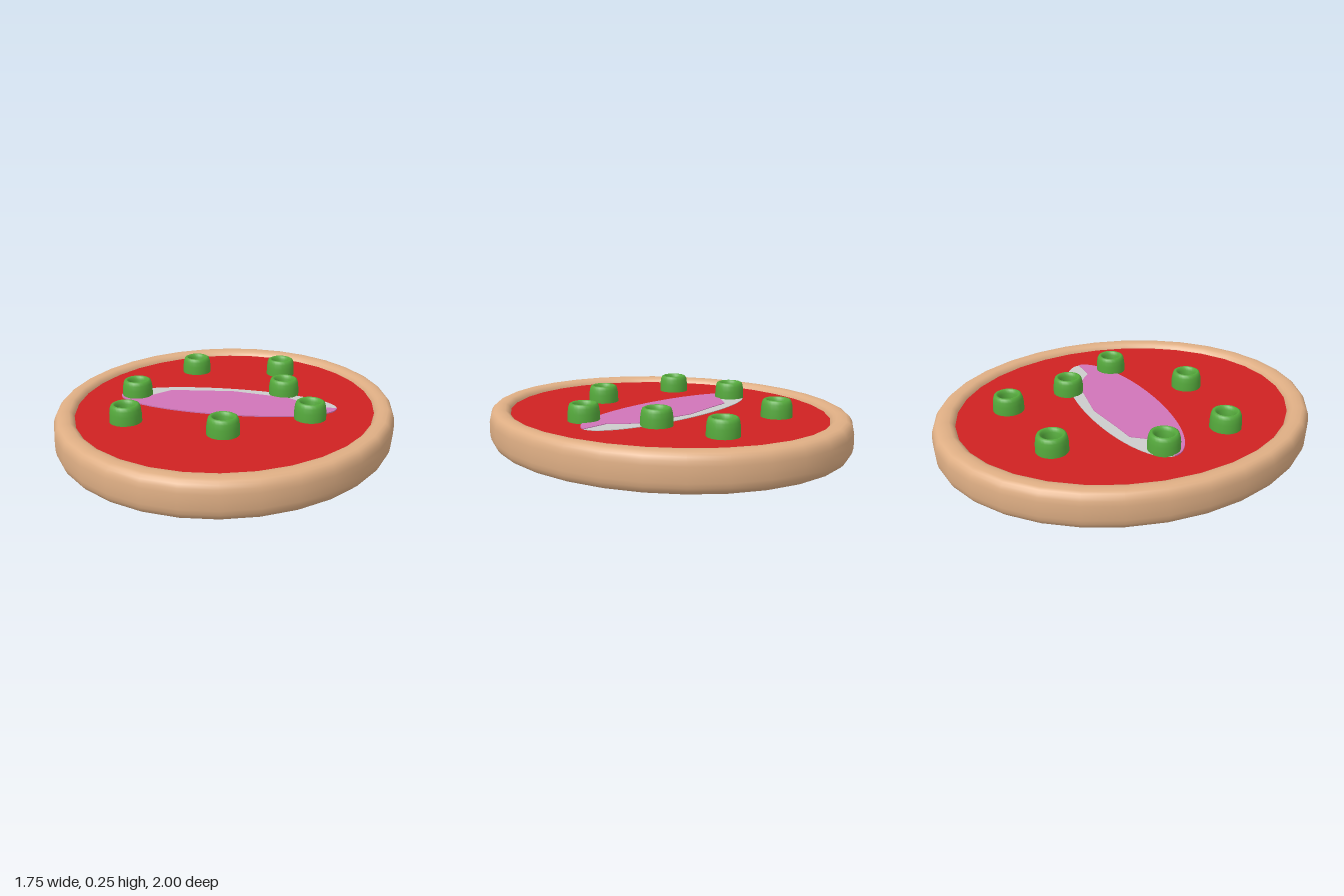
import * as THREE from 'three';

const material = (color) => new THREE.MeshStandardMaterial({ color, roughness: 0.9 });

// Ring with a soft, boxy tube section, turned around y
function softRing(radius, halfWidth, halfHeight, y, power, sides, segments) {
  const points = [];
  for (let i = 0; i <= sides; i++) {
    const a = Math.PI + (i / sides) * Math.PI * 2;
    const soft = (v) => Math.sign(v) * Math.pow(Math.abs(v), 2 / power);
    points.push(new THREE.Vector2(radius + halfWidth * soft(Math.cos(a)), y + halfHeight * soft(Math.sin(a))));
  }
  return new THREE.LatheGeometry(points, segments);
}

// Thin flat slab cut from a plan outline (shape y becomes -z)
function slab(shape, bottom, top) {
  const geometry = new THREE.ExtrudeGeometry(shape, { depth: top - bottom, bevelEnabled: false, curveSegments: 32 });
  return geometry.rotateX(-Math.PI / 2).translate(0, bottom, 0);
}

export function createModel() {
  const group = new THREE.Group();
  const add = (name, geometry, mat) => {
    const mesh = new THREE.Mesh(geometry, mat);
    mesh.name = name;
    group.add(mesh);
    return mesh;
  };
  const dough = material(0xdeae84);
  const green = material(0x55aa3c);
  const oval = 0.873;
  const sauceTop = 0.162;

  // Oval rim, dough base set slightly up inside it, and sauce layer
  add('crust', softRing(0.935, 0.065, 0.095, 0.095, 2.8, 24, 32), dough).scale.x = oval;
  add('base', new THREE.CylinderGeometry(0.89, 0.89, 0.1, 32).translate(0, 0.075, 0), dough).scale.x = oval;
  add('sauce', new THREE.CylinderGeometry(0.885, 0.885, 0.04, 32).translate(0, sauceTop - 0.02, 0),
    material(0xcf2222)).scale.x = oval;

  // Pale oval slice
  const slice = new THREE.Shape();
  slice.absellipse(0, 0.02, 0.58, 0.2, 0, Math.PI * 2);
  add('slice', slab(slice, sauceTop - 0.01, sauceTop + 0.003), material(0xcccccc));

  // Pink face of the slice: front half oval with a ragged back edge
  const pink = new THREE.Shape();
  pink.absellipse(0, 0.02, 0.58, 0.2, Math.PI, Math.PI * 2);
  [[0.44, 0.02], [0.37, 0.09], [0.31, 0.13], [0.2, 0.145], [0, 0.175],
    [-0.2, 0.145], [-0.33, 0.13], [-0.37, 0.08], [-0.42, 0.02]].forEach(([x, y]) => pink.lineTo(x, y));
  add('sliceFace', slab(pink, sauceTop - 0.005, sauceTop + 0.006), material(0xd074b8));

  // Green topping rings, half sunk in the sauce
  const ring = softRing(0.061, 0.02, 0.09, 0.163, 2.6, 16, 24);
  const spots = [[-0.28, -0.51], [0.215, -0.565], [0.28, -0.205], [-0.495, -0.03],
    [0.455, 0.13], [-0.435, 0.35], [0.07, 0.415]];
  spots.forEach(([x, z], i) => add(`toppingRing${i + 1}`, ring, green).position.set(x, 0, z));

  return group;
}
